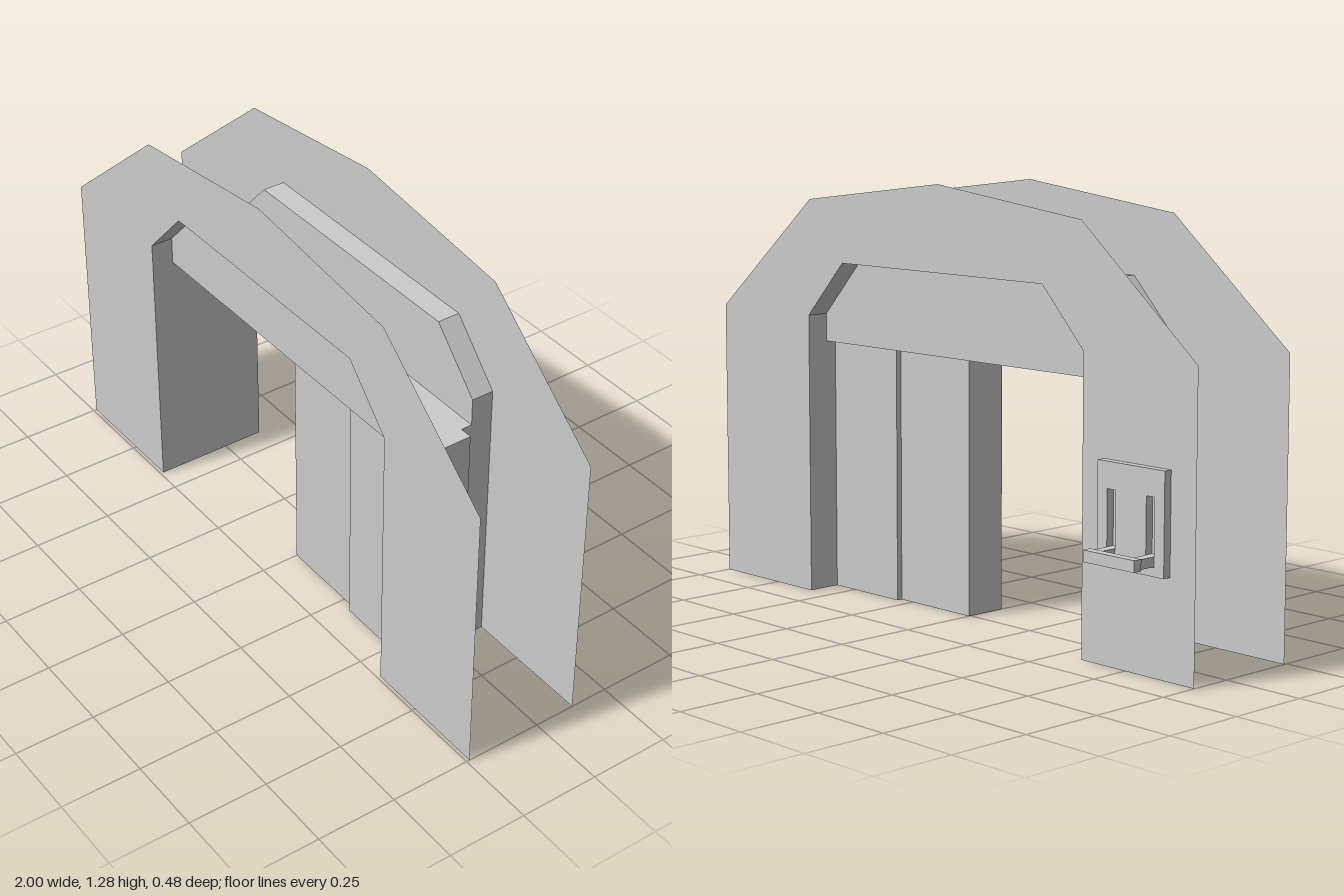
import * as THREE from 'three';

const mat = new THREE.MeshStandardMaterial({ color: 0xcccccc, flatShading: true, side: THREE.DoubleSide });

const FRONT = 0.24, BACK = -0.13;
const HEAD_FRONT = 0.17, HEAD_BACK = -0.06;
const JAMB = 0.585, HEAD_Y = 0.775;

// inner outline of the opening above the doors, right to left
const crown = [[JAMB, HEAD_Y], [JAMB, 0.86], [0.425, 1.03], [-0.425, 1.03], [-JAMB, 0.86], [-JAMB, HEAD_Y]];

const shapeOf = (pts) => new THREE.Shape(pts.map(([x, y]) => new THREE.Vector2(x, y)));

export function createModel() {
  const model = new THREE.Group();

  const add = (name, geometry, parent = model) => {
    const mesh = new THREE.Mesh(geometry, mat);
    mesh.name = name;
    parent.add(mesh);
    return mesh;
  };

  const box = (name, [x0, x1], [y0, y1], [z0, z1], parent) => {
    const mesh = add(name, new THREE.BoxGeometry(x1 - x0, y1 - y0, z1 - z0), parent);
    mesh.position.set((x0 + x1) / 2, (y0 + y1) / 2, (z0 + z1) / 2);
  };

  // flat sheet facing +z or -z
  const sheet = (name, pts, z, facing) => {
    const g = new THREE.ShapeGeometry(shapeOf(pts));
    if (facing < 0) g.rotateY(Math.PI);
    add(name, g).position.z = z;
  };

  // open strip following an xy path between two depths
  const strip = (name, path, zA, zB) => {
    const pos = [];
    for (let i = 0; i < path.length - 1; i++) {
      const [ax, ay] = path[i], [bx, by] = path[i + 1];
      pos.push(ax, ay, zA, ax, ay, zB, bx, by, zB, ax, ay, zA, bx, by, zB, bx, by, zA);
    }
    const g = new THREE.BufferGeometry();
    g.setAttribute('position', new THREE.Float32BufferAttribute(pos, 3));
    g.computeVertexNormals();
    add(name, g);
  };

  // arched wall sheets
  const arch = [
    [-1, 0], [-1, 0.86], [-0.575, 1.215], [0, 1.285], [0.575, 1.215], [1, 0.86], [1, 0],
    [JAMB, 0], ...crown.slice(1, 5), [-JAMB, 0],
  ];
  sheet('frontWall', arch, FRONT, 1);
  sheet('backWall', arch, BACK, -1);

  // header: two faces and a soffit, open on top
  sheet('headerFront', crown, HEAD_FRONT, 1);
  sheet('headerBack', crown, HEAD_BACK, -1);
  strip('headerSoffit', [[-JAMB, HEAD_Y], [JAMB, HEAD_Y]], HEAD_FRONT, HEAD_BACK);

  // reveals joining walls and header
  strip('frontReveal', crown, FRONT, HEAD_FRONT);
  strip('backReveal', crown, HEAD_BACK, BACK);

  // jambs: full depth on one side, split around the doors on the other
  strip('rightJamb', [[-JAMB, HEAD_Y], [-JAMB, 0]], FRONT, BACK);
  strip('leftJambFront', [[JAMB, 0], [JAMB, HEAD_Y]], FRONT, 0.145);
  strip('leftJambBack', [[JAMB, 0], [JAMB, HEAD_Y]], -0.025, BACK);

  // telescoping sliding door
  const door = new THREE.Group();
  door.name = 'slidingDoor';
  model.add(door);
  box('outerDoorPanel', [0.3, 0.625], [0, HEAD_Y], [-0.025, 0.145], door);
  box('innerDoorPanel', [0, 0.3], [0, HEAD_Y], [-0.007, 0.127], door);

  // lever switch on the back wall
  const lever = new THREE.Group();
  lever.name = 'leverSwitch';
  model.add(lever);
  const slots = [[-0.875, -0.845], [-0.732, -0.702]];
  const plate = shapeOf([[-0.91, 0.285], [-0.665, 0.285], [-0.665, 0.575], [-0.91, 0.575]]);
  for (const [a, b] of slots) {
    plate.holes.push(new THREE.Path(
      [[a, 0.31], [a, 0.5], [b, 0.5], [b, 0.31]].map(([x, y]) => new THREE.Vector2(x, y))));
  }
  add('leverPlate', new THREE.ExtrudeGeometry(plate, { depth: 0.025, bevelEnabled: false }), lever)
    .position.z = BACK - 0.025;
  for (const s of slots) box('leverArm', s, [0.312, 0.34], [-0.212, -0.09], lever);
  box('leverHandle', [-0.882, -0.695], [0.31, 0.343], [-0.24, -0.212], lever);

  return model;
}
